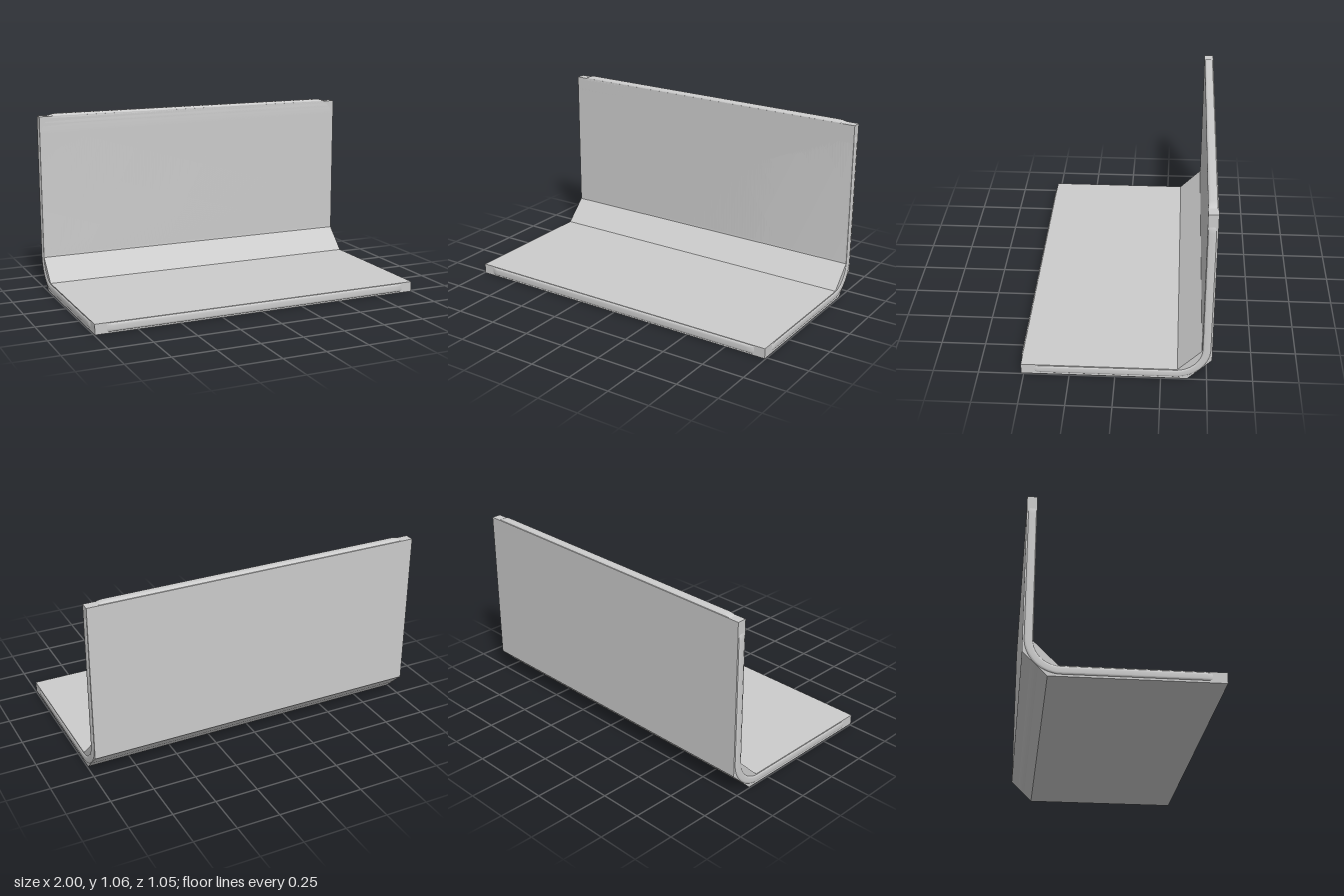
import * as THREE from 'three';
import { toCreasedNormals } from 'three/addons/utils/BufferGeometryUtils.js';

const material = new THREE.MeshStandardMaterial({ color: 0xcccccc });

// Square-edged L-shaped plate with a straight chamfer inside and outside the bend
function makePlate() {
  const outline = [
    [0.515, 0], [0.515, 0.06], [-0.34, 0.06], [-0.47, 0.19],
    [-0.47, 1.047], [-0.525, 1.047], [-0.525, 0.13], [-0.395, 0],
  ].map(([z, y]) => new THREE.Vector2(z, y));
  const width = 1.99;
  const geo = new THREE.ExtrudeGeometry(new THREE.Shape(outline), { depth: width, bevelEnabled: false });
  geo.translate(0, 0, -width / 2).rotateY(-Math.PI / 2);
  return geo;
}

// Bent sheet with rounded corners and edges, slightly proud of the plate
function makeSheet() {
  const halfWidth = 1, halfThick = 0.025, corner = 0.12, edge = 0.015;
  const cz = -0.325, cy = 0.203, radius = 0.17;
  const front = 0.525 - cz, bend = radius * Math.PI / 2, total = front + bend + 1.06 - cy;

  // Position and inward normal on the sheet's middle line at distance s
  const pathAt = (s) => {
    const a = THREE.MathUtils.clamp((s - front) / radius, 0, Math.PI / 2);
    const nz = Math.sin(a), ny = Math.cos(a);
    return {
      z: cz - radius * nz + Math.max(0, front - s),
      y: cy - radius * ny + Math.max(0, s - front - bend),
      nz, ny,
    };
  };
  const rounding = (d, r) => (d >= r ? 0 : r - Math.sqrt(r * r - (r - d) ** 2));

  // Stations: close together at both ends and around the bend
  const ends = [];
  for (let i = 0; i <= 12; i++) ends.push(corner * (1 - Math.cos(i / 12 * Math.PI / 2)));
  const stations = [...ends];
  for (let i = 0; i <= 20; i++) stations.push(front + bend * i / 20);
  stations.push(...ends.map((d) => total - d).reverse());

  const positions = [], index = [], steps = 5, ring = 4 * (steps + 1);
  for (const s of stations) {
    const d = Math.max(0, Math.min(s, total - s));
    const w = halfWidth - rounding(d, corner), h = halfThick - rounding(d, edge);
    const r = Math.min(edge, h * 0.95), p = pathAt(s);
    for (let q = 0; q < 4; q++) {
      const sx = q === 0 || q === 3 ? 1 : -1, sn = q < 2 ? 1 : -1;
      for (let k = 0; k <= steps; k++) {
        const a = (q + k / steps) * Math.PI / 2;
        const n = sn * (h - r) + r * Math.sin(a);
        positions.push(sx * (w - r) + r * Math.cos(a), p.y + p.ny * n, p.z + p.nz * n);
      }
    }
  }
  const last = (stations.length - 1) * ring;
  for (let i = 0; i < last; i += ring) {
    for (let j = 0; j < ring; j++) {
      const a = i + j, b = i + (j + 1) % ring;
      index.push(a, a + ring, b, b, a + ring, b + ring);
    }
  }
  // End caps
  for (let j = 1; j < ring - 1; j++) {
    index.push(0, j, j + 1, last, last + j + 1, last + j);
  }
  const geo = new THREE.BufferGeometry();
  geo.setAttribute('position', new THREE.Float32BufferAttribute(positions, 3));
  geo.setIndex(index);
  return toCreasedNormals(geo, 0.6);
}

export function createModel() {
  const group = new THREE.Group();
  group.name = 'bentPanel';
  for (const [name, geo] of [['chamferedPlate', makePlate()], ['roundedSheet', makeSheet()]]) {
    const mesh = new THREE.Mesh(geo, material);
    mesh.name = name;
    group.add(mesh);
  }
  return group;
}
